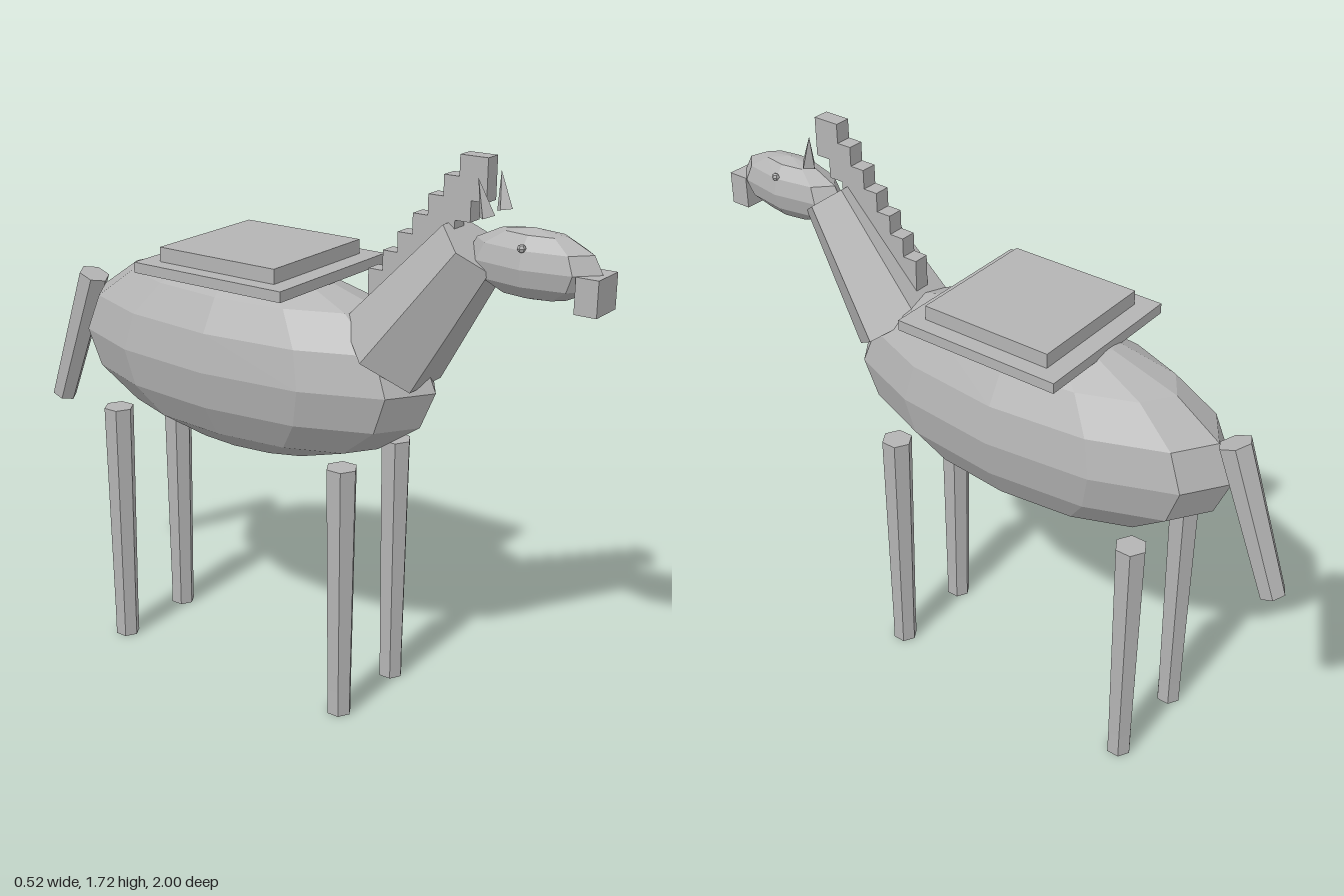
import * as THREE from 'three';

export function createModel() {
  const model = new THREE.Group();
  model.name = 'horse';
  const grey = new THREE.MeshStandardMaterial({ color: 0xb4b4b4, flatShading: true });
  grey.name = 'plainGrey';

  const add = (name, geometry, x, y, z) => {
    const mesh = new THREE.Mesh(geometry, grey);
    mesh.name = name;
    mesh.position.set(x, y, z);
    model.add(mesh);
    return mesh;
  };
  const box = (name, w, h, d, x, y, z) => add(name, new THREE.BoxGeometry(w, h, d), x, y, z);

  // Faceted body and head
  add('body', new THREE.SphereGeometry(1, 12, 8).scale(0.255, 0.3, 0.65), 0, 1.03, -0.15);
  add('head', new THREE.SphereGeometry(1, 8, 6).scale(0.083, 0.097, 0.2), 0, 1.453, 0.785);
  box('muzzle', 0.11, 0.1, 0.065, 0, 1.403, 0.967);

  // Tapered neck with flat front and back, leaning forward
  const neckShape = new THREE.CylinderGeometry(0.106, 0.165, 0.43, 6).rotateY(Math.PI / 6);
  add('neck', neckShape, 0, 1.305, 0.48).rotation.x = 0.647;

  // Tail slanting backwards
  add('tail', new THREE.CylinderGeometry(0.05, 0.04, 0.473, 6), 0, 0.946, -0.879).rotation.x = 0.35;

  // Stepped mane
  for (let i = 0; i < 7; i++) {
    box('maneStep', 0.05, 0.12, 0.085, 0, 1.66 - i * 0.059, 0.608 - i * 0.0473);
  }

  // Saddle blanket and seat
  box('saddleBlanket', 0.525, 0.032, 0.535, 0, 1.312, -0.118);
  box('saddleSeat', 0.425, 0.044, 0.418, 0, 1.35, -0.118);

  for (const side of [-1, 1]) {
    // Legs with hooves
    for (const [name, z] of [['front', 0.28], ['rear', -0.58]]) {
      add(name + 'Leg', new THREE.CylinderGeometry(0.048, 0.039, 0.72, 6), side * 0.143, 0.44, z);
      add(name + 'Hoof', new THREE.CylinderGeometry(0.039, 0.039, 0.08, 6), side * 0.143, 0.04, z);
    }
    // Upright ears, tilted out and back
    const ear = add('ear', new THREE.ConeGeometry(0.024, 0.105, 4), side * 0.054, 1.622, 0.655);
    ear.rotation.set(-0.22, 0, -side * 0.13);
    // Eyes
    add('eye', new THREE.SphereGeometry(0.012, 6, 4), side * 0.072, 1.508, 0.785);
  }
  return model;
}
